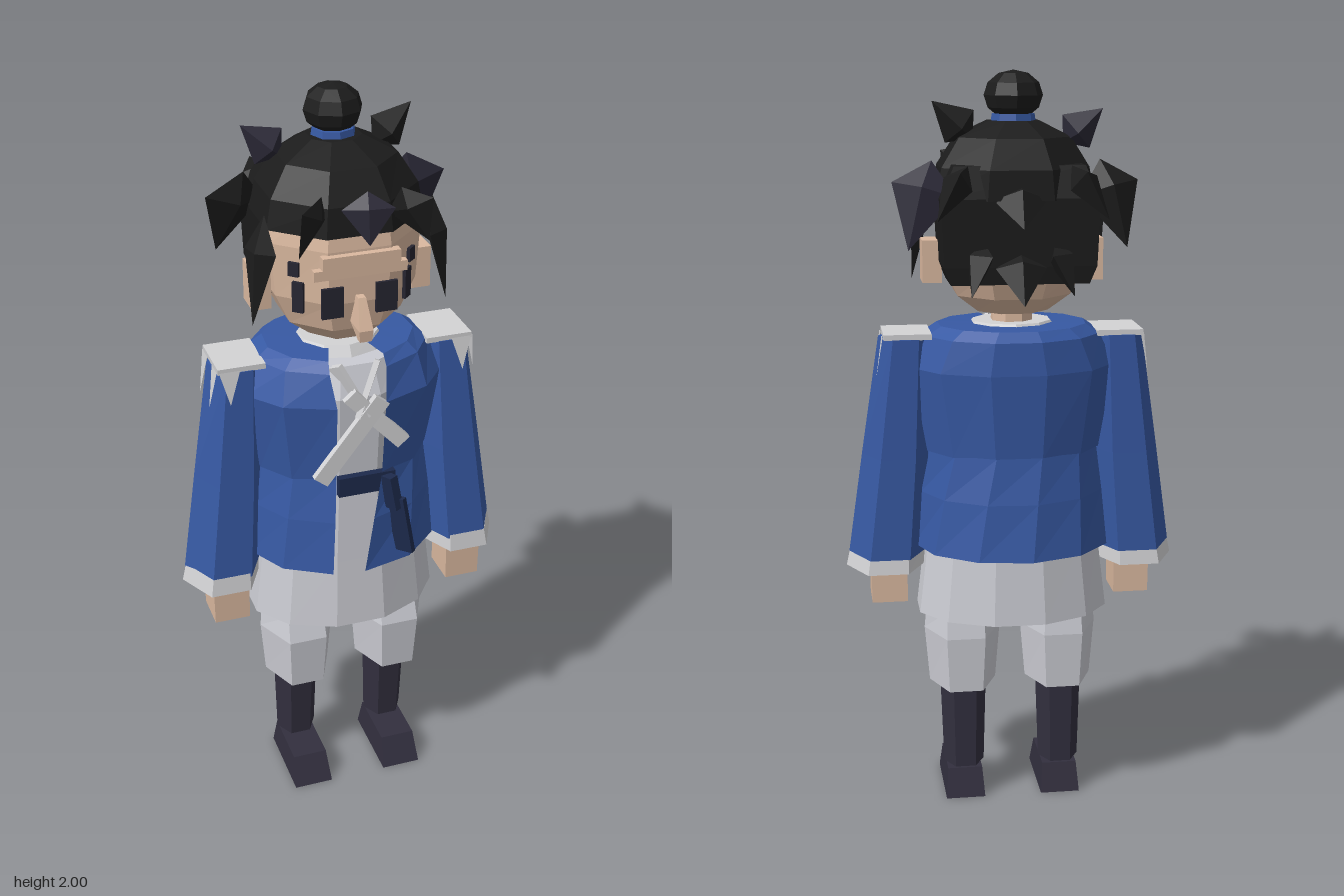
import * as THREE from 'three';

const mat = (name, color, side = THREE.FrontSide) =>
  new THREE.MeshStandardMaterial({ name, color, side, flatShading: true });

// Skin over stacked rings [y, rx, rz, cx, cz], listed upward.
// gap(ring) may return [xLeft, xRight] to leave the front open.
function loft(rings, sides, phase = 0, gap = null) {
  const pos = [], idx = [];
  rings.forEach((r, j) => {
    const [y, rx, rz, cx = 0, cz = 0] = r;
    let a0 = phase, a1 = phase + Math.PI * 2;
    if (gap) {
      const [l, rt] = gap[j];
      a0 = Math.asin(rt / rx);
      a1 = Math.PI * 2 + Math.asin(l / rx);
    }
    for (let i = 0; i <= sides; i++) {
      const a = a0 + (a1 - a0) * i / sides;
      pos.push(cx + rx * Math.sin(a), y, cz + rz * Math.cos(a));
    }
  });
  const n = sides + 1;
  for (let j = 0; j < rings.length - 1; j++)
    for (let i = 0; i < sides; i++) {
      const a = j * n + i, b = a + n;
      idx.push(a, a + 1, b + 1, a, b + 1, b);
    }
  if (!gap) {
    const top = (rings.length - 1) * n;
    for (let i = 1; i < sides - 1; i++) {
      idx.push(0, i + 1, i);
      idx.push(top, top + i, top + i + 1);
    }
  }
  const g = new THREE.BufferGeometry();
  g.setAttribute('position', new THREE.Float32BufferAttribute(pos, 3));
  g.setIndex(idx);
  g.computeVertexNormals();
  return g;
}

export function createModel() {
  const root = new THREE.Group();
  const blue = mat('coat blue', 0x3759a3, THREE.DoubleSide);
  const cloth = mat('pale cloth', 0xcbccd3);
  const trim = mat('white trim', 0xd3d3d5, THREE.DoubleSide);
  const skin = mat('skin', 0xdbb9a0);
  const hair = mat('black hair', 0x1c1c1c);
  const plum = mat('dark plum hair', 0x2b2937);
  const boot = mat('boot leather', 0x322f3e);
  const navy = mat('navy belt', 0x1d2a4c);
  const ink = mat('eye ink', 0x262531);

  const add = (name, geo, m, parent = root) => {
    const mesh = new THREE.Mesh(geo, m);
    mesh.name = name;
    parent.add(mesh);
    return mesh;
  };
  const box = (name, m, w, h, d, x, y, z, ry = 0) => {
    const b = add(name, new THREE.BoxGeometry(w, h, d), m);
    b.position.set(x, y, z);
    b.rotation.y = ry;
    return b;
  };
  const aim = (mesh, a, b) => {
    const p = new THREE.Vector3(...a), q = new THREE.Vector3(...b);
    mesh.position.copy(p).add(q).multiplyScalar(0.5);
    mesh.quaternion.setFromUnitVectors(new THREE.Vector3(0, 1, 0), q.sub(p).normalize());
  };
  const dist = (a, b) => Math.hypot(a[0] - b[0], a[1] - b[1], a[2] - b[2]);
  const bar = (name, m, a, b, w, d) =>
    aim(add(name, new THREE.BoxGeometry(w, dist(a, b), d), m), a, b);
  // Pointed lock of hair from root a to tip b, fattest near the root
  const lock = (name, m, a, b, w, t, spin = 0) => {
    const g = new THREE.OctahedronGeometry(1), p = g.attributes.position;
    for (let i = 0; i < p.count; i++) if (Math.abs(p.getY(i)) < 0.01) p.setY(i, -0.35);
    g.scale(w / 2, dist(a, b) / 2, t / 2).rotateY(spin);
    g.computeVertexNormals();
    aim(add(name, g, m), a, b);
  };

  // Legs and arms, mirrored
  for (const s of [1, -1]) {
    const side = s > 0 ? 'left' : 'right', P = Math.PI / 2, x = 0.134 * s;
    add(side + 'Shoe', loft([[0, 0.077, 0.162, x, 0.083], [0.082, 0.068, 0.12, x, 0.075]], 4, Math.PI / 4), boot);
    add(side + 'Boot', loft([[0.095, 0.056, 0.058, x, 0.022], [0.345, 0.064, 0.068, x, 0.03]], 6, P), boot);
    add(side + 'Breeches', loft([[0.335, 0.092, 0.122, x, 0.042], [0.49, 0.105, 0.132, x, 0.045],
      [0.565, 0.098, 0.11, x, 0.04], [0.7, 0.09, 0.1, x, 0.03]], 6, P), cloth);

    const sx = 0.335 * s;
    add(side + 'Hand', loft([[0.58, 0.068, 0.075, sx, 0.062], [0.7, 0.07, 0.075, sx, 0.062]], 4, Math.PI / 4), skin);
    add(side + 'Cuff', loft([[0.685, 0.108, 0.123, 0.342 * s, 0.035], [0.735, 0.101, 0.116, 0.338 * s, 0.035]], 6, P), trim);
    add(side + 'Sleeve', loft([[0.725, 0.106, 0.119, 0.336 * s, 0.033], [1.0, 0.092, 0.105, 0.31 * s, 0.025],
      [1.32, 0.068, 0.09, 0.285 * s, 0.015]], 6, P), blue);

    // Shoulder board with hanging points
    box(side + 'Epaulette', trim, 0.125, 0.015, 0.15, 0.28 * s, 1.326, 0.016);
    for (const [z, w] of [[0.065, 0.025], [-0.03, 0.025]]) {
      const pt = new THREE.BufferGeometry();
      pt.setAttribute('position', new THREE.Float32BufferAttribute([
        0.345 * s, 1.325, z - w, 0.345 * s, 1.325, z + w, 0.362 * s, 1.215, z], 3));
      pt.computeVertexNormals();
      add(side + 'EpaulettePoint', pt, trim);
    }
    const f = new THREE.BufferGeometry();
    f.setAttribute('position', new THREE.Float32BufferAttribute([
      0.285 * s, 1.325, 0.094, 0.34 * s, 1.325, 0.094, 0.315 * s, 1.235, 0.105], 3));
    f.computeVertexNormals();
    add(side + 'EpauletteFrontPoint', f, trim);
  }

  // Tunic under the coat
  add('tunic', loft([[0.56, 0.265, 0.197, 0, 0.022], [0.76, 0.24, 0.18, 0, 0.022], [0.99, 0.2, 0.165, 0, 0.02],
    [1.25, 0.21, 0.18, 0, 0.02], [1.33, 0.17, 0.155, 0, 0.015]], 12, Math.PI / 12), cloth);

  // Coat, open at the front
  add('coatSkirt', loft([[0.75, 0.268, 0.23, 0, 0.013], [0.9, 0.25, 0.212, 0, 0.015], [1.02, 0.232, 0.19, 0, 0.015]],
    11, 0, [[-0.085, 0.0], [-0.075, 0.03], [-0.065, 0.06]]), blue);
  add('coatBody', loft([[1.015, 0.238, 0.188, 0, 0.015], [1.24, 0.278, 0.205, 0, 0.02], [1.325, 0.238, 0.188, 0, 0.01],
    [1.35, 0.2, 0.165, 0, 0.01], [1.352, 0.1, 0.09, 0, 0.01]],
    11, 0, [[-0.065, 0.06], [-0.07, 0.06], [-0.08, 0.07], [-0.075, 0.07], [-0.05, 0.05]]), blue);
  add('collar', loft([[1.325, 0.125, 0.115, 0, 0.012], [1.358, 0.105, 0.095, 0, 0.012]], 10), trim);

  // Crossed neck cloth
  bar('neckClothRight', trim, [-0.115, 1.035, 0.212], [0.05, 1.25, 0.215], 0.045, 0.018);
  bar('neckClothLeft', trim, [-0.035, 1.27, 0.208], [0.11, 1.115, 0.212], 0.042, 0.018);
  bar('neckClothUpperRight', trim, [-0.06, 1.335, 0.165], [0.01, 1.2, 0.205], 0.045, 0.015);
  bar('neckClothUpperLeft', trim, [0.055, 1.335, 0.165], [-0.01, 1.2, 0.205], 0.045, 0.015);

  // Belt and its hanging end
  box('belt', navy, 0.155, 0.055, 0.02, 0.018, 0.995, 0.192);
  bar('beltKnot', navy, [0.07, 1.015, 0.205], [0.085, 0.92, 0.215], 0.055, 0.025);
  bar('beltTail', navy, [0.09, 0.95, 0.215], [0.115, 0.785, 0.228], 0.062, 0.015);

  // Head and face
  const E = Math.PI / 8;
  add('neck', loft([[1.32, 0.058, 0.055, 0, 0.01], [1.42, 0.055, 0.052, 0, 0.01]], 8, E), skin);
  add('head', loft([[1.385, 0.1, 0.105, 0, 0.02], [1.43, 0.16, 0.155, 0, 0.015], [1.51, 0.2, 0.183, 0, 0.008],
    [1.65, 0.212, 0.19, 0, 0.005], [1.78, 0.185, 0.175, 0, 0]], 8, E), skin);
  box('brow', skin, 0.2, 0.032, 0.024, 0, 1.628, 0.186);
  box('browRidge', skin, 0.24, 0.026, 0.02, 0, 1.597, 0.181);
  const nose = loft([[1.425, 0.022, 0.012, 0, 0.222], [1.455, 0.026, 0.05, 0, 0.198], [1.53, 0.014, 0.02, 0, 0.185]], 4, Math.PI / 4);
  add('nose', nose, skin);
  for (const s of [1, -1]) {
    const side = s > 0 ? 'left' : 'right';
    box(side + 'Eye', ink, 0.056, 0.08, 0.009, 0.07 * s, 1.518, 0.181);
    box(side + 'EyeCorner', ink, 0.03, 0.08, 0.009, 0.142 * s, 1.522, 0.13, 0.74 * s);
    box(side + 'EyebrowEnd', ink, 0.028, 0.036, 0.009, 0.152 * s, 1.597, 0.128, 0.74 * s);
    box(side + 'Ear', skin, 0.05, 0.11, 0.08, 0.212 * s, 1.518, 0.01);
  }

  // Hair cap, back hair and bun
  add('hairCap', loft([[1.685, 0.22, 0.197, 0, 0], [1.76, 0.205, 0.19, 0, -0.002], [1.835, 0.155, 0.15, 0, -0.008],
    [1.875, 0.07, 0.07, 0, -0.02]], 8, E), hair);
  add('backHair', loft([[1.475, 0.25, 0.112, 0, -0.09], [1.52, 0.275, 0.142, 0, -0.075], [1.69, 0.285, 0.155, 0, -0.068],
    [1.77, 0.235, 0.12, 0, -0.068]], 4, Math.PI / 4), hair);
  const tie = add('hairTie', new THREE.CylinderGeometry(0.055, 0.058, 0.02, 8), blue);
  tie.position.set(0, 1.882, -0.025);
  const bun = add('hairBun', new THREE.SphereGeometry(0.076, 8, 6).scale(1, 0.82, 1), hair);
  bun.position.set(0, 1.938, -0.028);

  // Loose locks
  lock('fringeRight', hair, [-0.1, 1.8, 0.19], [-0.165, 1.66, 0.215], 0.13, 0.045);
  lock('fringeMiddle', plum, [0.015, 1.8, 0.19], [0.01, 1.675, 0.225], 0.13, 0.045);
  lock('fringeLeft', hair, [0.1, 1.8, 0.19], [0.165, 1.665, 0.215], 0.13, 0.045);
  lock('crownRight', plum, [-0.125, 1.82, -0.05], [-0.225, 1.905, -0.06], 0.11, 0.09);
  lock('crownLeft', hair, [0.105, 1.83, -0.03], [0.21, 1.925, -0.045], 0.11, 0.09);
  for (const s of [1, -1]) {
    const side = s > 0 ? 'left' : 'right';
    lock(side + 'Sidelock', hair, [0.215 * s, 1.735, 0.1], [0.255 * s, 1.455, 0.115], 0.055, 0.09);
    lock(side + 'TempleLock', s > 0 ? plum : hair, [0.215 * s, 1.78, -0.08], [0.28 * s, 1.56, -0.13], 0.07, 0.17);
    lock(side + 'BackLock', hair, [0.13 * s, 1.77, -0.15], [0.215 * s, 1.64, -0.225], 0.13, 0.08);
    lock(side + 'NapeLock', hair, [0.09 * s, 1.58, -0.15], [0.13 * s, 1.45, -0.22], 0.1, 0.07);
  }
  lock('backMiddleLock', hair, [0, 1.72, -0.14], [0, 1.62, -0.235], 0.14, 0.08);
  lock('napeMiddleLock', hair, [0, 1.56, -0.15], [0, 1.43, -0.245], 0.13, 0.07);

  return root;
}
